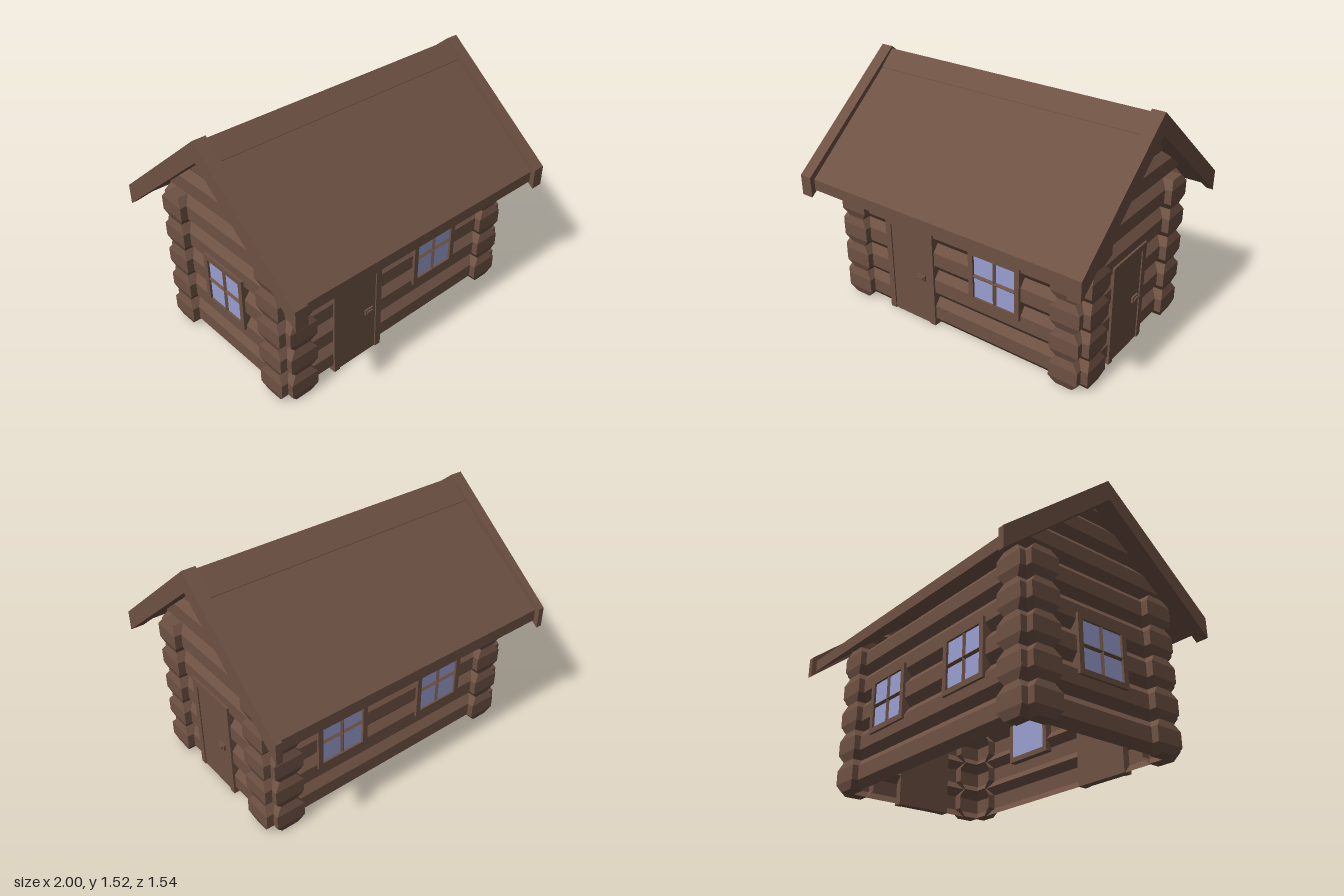
import * as THREE from 'three';

const LOG = 0.19;    // log height
const LEVELS = 5;    // full logs in each wall
// Log cross-section as (outward, up), clockwise from the upper outer corner
const SECTION = [
  [0.055, 0.095], [0.095, 0.045], [0.095, -0.045], [0.055, -0.095],
  [-0.055, -0.095], [-0.095, -0.045], [-0.095, 0.045], [-0.055, 0.095],
];

export function createModel() {
  const cabin = new THREE.Group();
  cabin.name = 'logCabin';
  const wood = new THREE.MeshStandardMaterial({ color: 0x6d5143, side: THREE.DoubleSide });
  wood.name = 'brown wood';
  const glass = new THREE.MeshStandardMaterial({ color: 0x989fd0 });
  glass.name = 'window glass';

  const add = (parent, name, geometry, material = wood) => {
    const mesh = new THREE.Mesh(geometry, material);
    mesh.name = name;
    parent.add(mesh);
    return mesh;
  };

  // Log along x with the first few facets of the section, and an optional domed end
  function logGeometry(level, facets, startAt, endAt, capped = false) {
    const positions = [];
    const point = (at, [out, up]) => {
      const y = Math.min((level + 0.5) * LOG + up, 1.42);
      return [at(y), y, out];
    };
    const quad = (a, b, c, d) => positions.push(...a, ...b, ...c, ...a, ...c, ...d);
    for (let i = 0; i < facets; i++) {
      const a = SECTION[i], b = SECTION[(i + 1) % 8];
      quad(point(startAt, a), point(startAt, b), point(endAt, b), point(endAt, a));
    }
    for (let k = 0; capped && k < 3; k++) {
      quad(...[7 - k, k, k + 1, 6 - k].map((i) => point(endAt, SECTION[i])));
    }
    const g = new THREE.BufferGeometry();
    g.setAttribute('position', new THREE.Float32BufferAttribute(positions, 3));
    g.computeVertexNormals();
    return g;
  }

  // Hollow wall of log faces, with log ends crossing past both corners
  function makeWall(name, turn, distance, corner, tip) {
    const wall = new THREE.Group();
    wall.name = name;
    wall.rotation.y = turn;
    cabin.add(wall);
    const face = new THREE.Group();
    face.name = name + 'Face';
    face.position.z = distance;
    wall.add(face);
    const start = corner + 0.04;
    for (let level = 0; level < LEVELS; level++) {
      const mid = (level + 0.5) * LOG;
      const domed = (y) => tip - (Math.abs(y - mid) > 0.08 ? 0.017 : 0);
      add(face, 'wallLog', logGeometry(level, 3, () => -start, () => start));
      for (const angle of [0, Math.PI]) {
        add(face, 'logEnd', logGeometry(level, 8, () => start, domed, true)).rotation.y = angle;
      }
    }
    return face;
  }
  const front = makeWall('frontWall', 0, 0.435, 0.785, 0.925);
  const back = makeWall('backWall', Math.PI, 0.435, 0.785, 0.925);
  const left = makeWall('leftWall', Math.PI / 2, 0.785, 0.435, 0.57);
  const right = makeWall('rightWall', -Math.PI / 2, 0.785, 0.435, 0.57);

  // Gable logs, cut to the slope of the roof
  const underRoof = (y) => (1.43 - y) / 0.83;
  for (const face of [left, right]) {
    for (let level = LEVELS; level < LEVELS + 3; level++) {
      add(face, 'gableLog', logGeometry(level, 3, (y) => -underRoof(y), underRoof));
    }
  }

  // Roof parts: a (z, y) profile swept from x0 to x1, then splayed toward the back
  function roofPart(name, profile, x0, x1, splay) {
    const shape = new THREE.Shape(profile.map(([z, y]) => new THREE.Vector2(z, y)));
    const g = new THREE.ExtrudeGeometry(shape, { depth: x1 - x0, bevelEnabled: false });
    g.rotateY(-Math.PI / 2).translate(x1, 0, 0);
    const p = g.attributes.position;
    for (let i = 0; i < p.count; i++) {
      const x = p.getX(i), z = p.getZ(i);
      if (z < 0 && splay(x)) p.setX(i, x + Math.sign(x) * 0.04 * (-z / 0.75));
    }
    g.computeVertexNormals();
    add(cabin, name, g);
  }
  const edge = 0.918;
  roofPart('roofPanels',
    [[0, 1.49], [-0.745, 0.875], [-0.745, 0.8], [0, 1.41], [0.74, 0.8], [0.74, 0.87]],
    -edge, edge, () => true);
  roofPart('ridgeCap',
    [[0, 1.505], [-0.125, 1.39], [-0.125, 1.37], [0, 1.47], [0.1, 1.39], [0.1, 1.409]],
    -edge, edge, () => true);
  const barge =
    [[0, 1.52], [-0.775, 0.89], [-0.775, 0.76], [0, 1.39], [0.77, 0.76], [0.77, 0.89]];
  const innerFace = (x) => Math.abs(x) < 0.95;
  roofPart('leftBargeBoards', barge, edge, 1, innerFace);
  roofPart('rightBargeBoards', barge, -1, -edge, innerFace);

  // Board set into a wall, reaching outward to the given depth
  const INNER = 0.05;
  function board(parent, name, w, h, outer, x, y, material) {
    const g = new THREE.BoxGeometry(w, h, outer - INNER);
    add(parent, name, g, material).position.set(x, y, (outer + INNER) / 2);
  }

  function makeWindow(face, x) {
    const g = new THREE.Group();
    g.name = 'window';
    g.position.x = x;
    face.add(g);
    const y = 0.479, w = 0.36, h = 0.352, rim = 0.033;
    const innerW = w - 2 * rim, innerH = h - 2 * rim;
    for (const s of [-1, 1]) {
      board(g, 'windowJamb', rim, h, 0.112, s * (w - rim) / 2, y);
      board(g, 'windowRail', innerW, rim, 0.112, 0, y + s * (h - rim) / 2);
    }
    board(g, 'windowGlass', innerW, innerH, 0.098, 0, y, glass);
    // Bars with a ridge facing outward
    const upright = add(g, 'uprightBar', new THREE.BoxGeometry(0.02, innerH, 0.02));
    upright.position.set(0, y, 0.097);
    upright.rotation.y = Math.PI / 4;
    const cross = add(g, 'crossBar', new THREE.BoxGeometry(innerW, 0.02, 0.02));
    cross.position.set(0, y, 0.097);
    cross.rotation.x = Math.PI / 4;
  }

  function makeDoor(face, x) {
    const g = new THREE.Group();
    g.name = 'door';
    g.position.x = x;
    face.add(g);
    const w = 0.373, h = 0.655, post = 0.042;
    for (const s of [-1, 1]) board(g, 'doorPost', post, h, 0.108, s * (w - post) / 2, h / 2);
    board(g, 'doorLintel', w - 2 * post, post, 0.108, 0, h - post / 2);
    board(g, 'doorPanel', w - 2 * post, h - post, 0.1, 0, (h - post) / 2);
    board(g, 'handlePlate', 0.062, 0.036, 0.112, 0.0875, 0.315);
    board(g, 'handleGrip', 0.042, 0.018, 0.122, 0.0875, 0.315);
  }

  makeDoor(front, -0.3525);
  makeWindow(front, 0.29);
  makeDoor(left, -0.0525);
  makeWindow(back, -0.385);
  makeWindow(back, 0.37);
  makeWindow(right, -0.01);

  return cabin;
}
